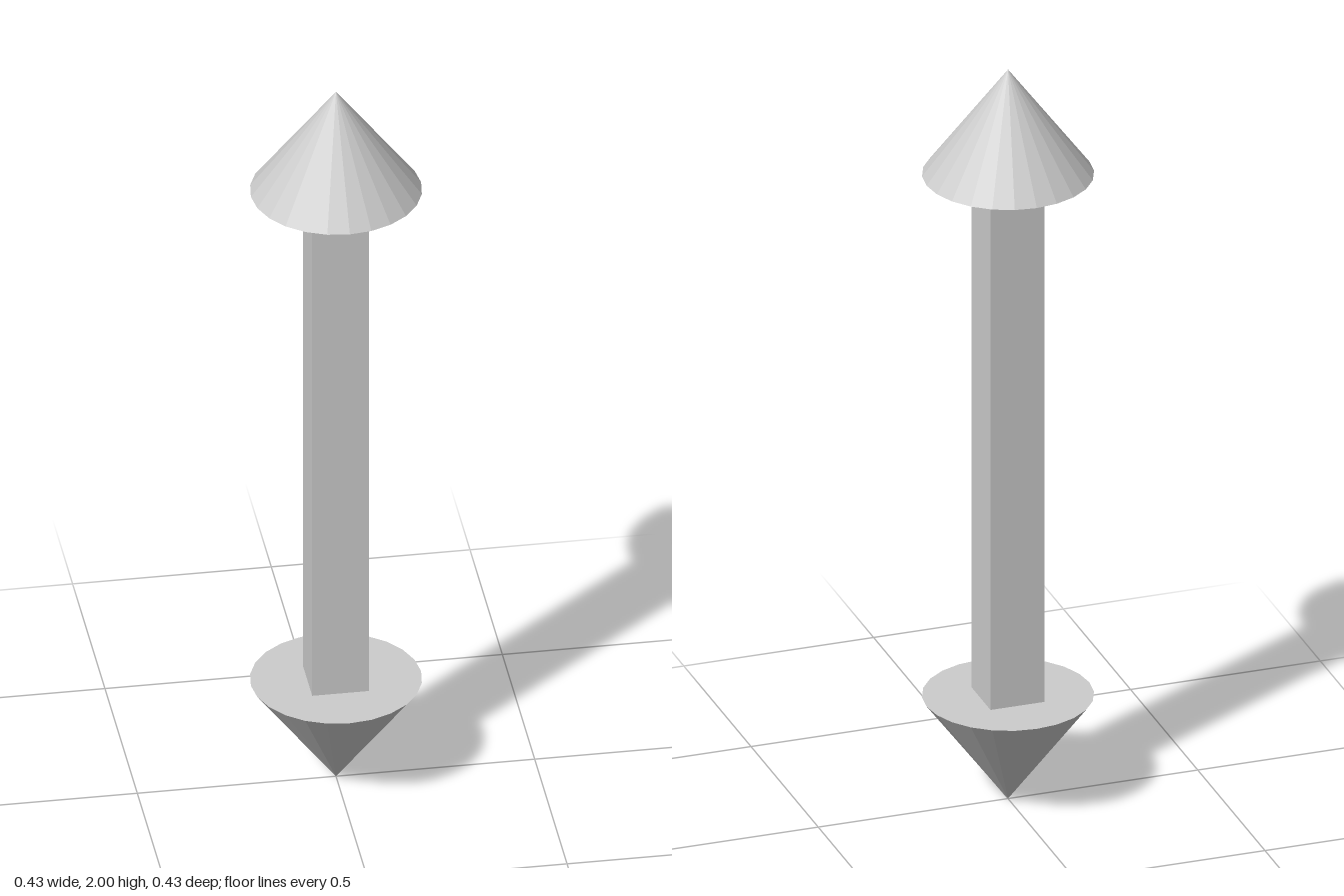
import * as THREE from 'three';

// All sizes are multiples of one unit: 14 units tall in total
const U = 1 / 7;
const HEAD_HEIGHT = 2 * U;
const HEAD_RADIUS = 1.5 * U;
const SHAFT_HEIGHT = 10 * U;

export function createModel() {
  const model = new THREE.Group();
  model.name = 'doubleArrow';
  const material = new THREE.MeshStandardMaterial({ color: 0xcccccc, flatShading: true });

  // Square shaft
  const shaft = new THREE.Mesh(new THREE.BoxGeometry(U, SHAFT_HEIGHT, U), material);
  shaft.name = 'shaft';
  shaft.position.y = 1;
  model.add(shaft);

  // Faceted cone heads, one pointing up and one pointing down
  const headGeometry = new THREE.ConeGeometry(HEAD_RADIUS, HEAD_HEIGHT, 24);
  for (const [name, dir] of [['topHead', 1], ['bottomHead', -1]]) {
    const head = new THREE.Mesh(headGeometry, material);
    head.name = name;
    head.position.y = 1 + dir * (SHAFT_HEIGHT + HEAD_HEIGHT) / 2;
    if (dir < 0) head.rotation.x = Math.PI;
    model.add(head);
  }

  return model;
}
